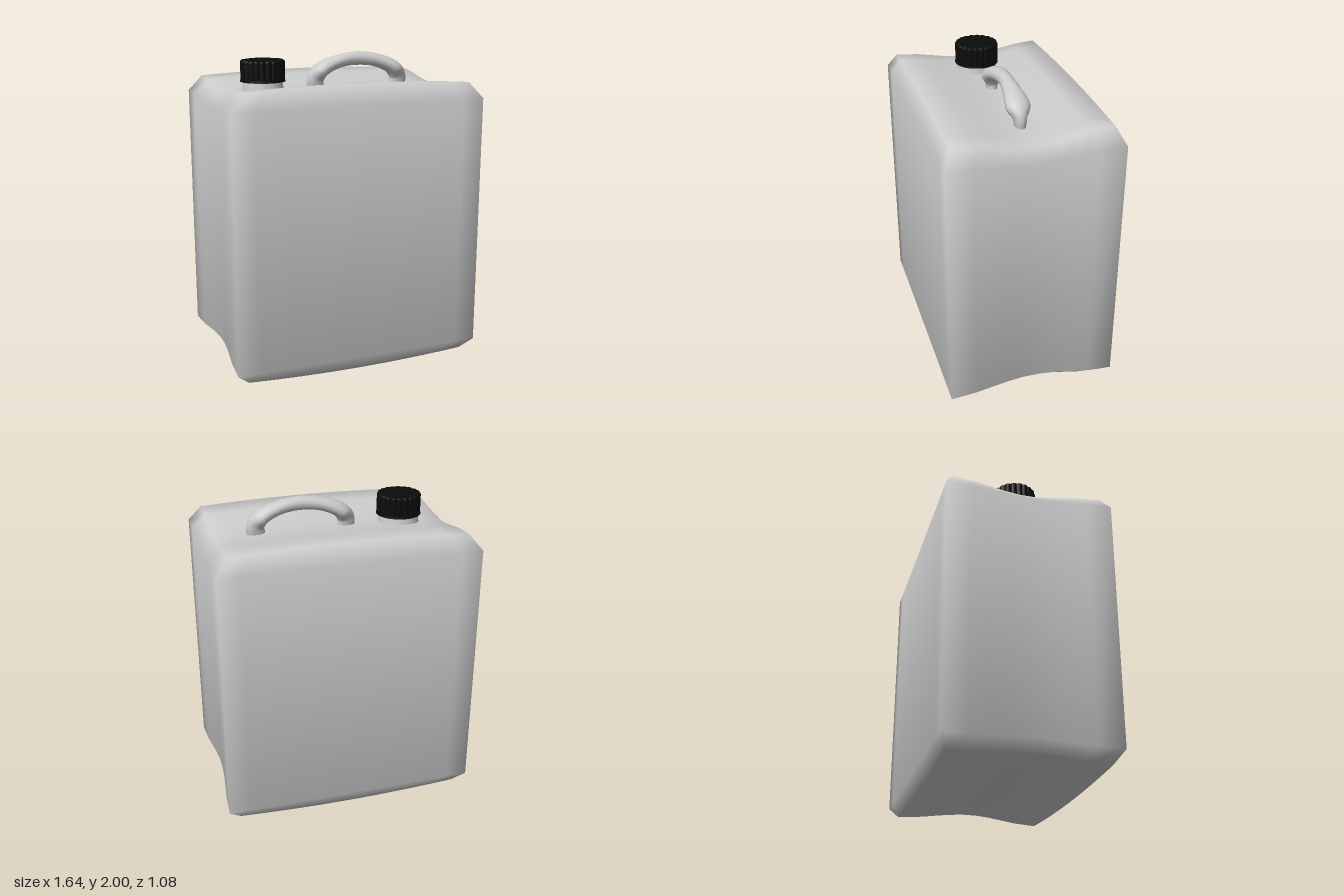
import * as THREE from 'three';
import { mergeVertices } from 'three/addons/utils/BufferGeometryUtils.js';

const plastic = new THREE.MeshStandardMaterial({ color: 0xcccccc });
const black = new THREE.MeshStandardMaterial({ color: 0x0b0b0b });

function add(parent, name, geometry, material) {
  const mesh = new THREE.Mesh(geometry, material);
  mesh.name = name;
  parent.add(mesh);
  return mesh;
}

// Body: a gridded box with chamfered top and bottom rims, a trough along
// the top and the bottom, and narrow sides that draw in towards the base
function bodyGeometry() {
  const xs = [-1, -0.83, -0.55, -0.27, 0, 0.27, 0.55, 0.83, 1];
  const zs = [-1, -0.7, -0.5, -0.3, -0.1, 0.1, 0.3, 0.5, 0.7, 1];
  const levels = [ // height, half width, half depth, lift in the trough, crown, side draw-in
    [0.028, 0.74, 0.49, 0.037, -0.024, 0.04],
    [0.1, 0.82, 0.54, 0.03, 0, 0.04],
    [1.73, 0.82, 0.54, -0.03, 0, 0],
    [1.83, 0.74, 0.49, -0.06, 0.022, 0],
  ];
  const nx = xs.length - 1, ny = levels.length - 1, nz = zs.length - 1;
  const box = new THREE.BoxGeometry(nx, ny, nz, nx, ny, nz);
  box.deleteAttribute('uv');
  box.deleteAttribute('normal');
  const geo = mergeVertices(box);
  const p = geo.attributes.position;
  const level = i => Math.round(i + ny / 2);
  const rows = Array.from({ length: p.count }, (_, i) => level(p.getY(i)));
  for (let i = 0; i < p.count; i++) {
    const u = xs[Math.round(p.getX(i) + nx / 2)];
    const w = zs[Math.round(p.getZ(i) + nz / 2)];
    const [y, halfX, halfZ, lift, crown, drawIn] = levels[rows[i]];
    const trough = 0.5 + 0.5 * Math.cos(Math.PI * w);
    p.setXYZ(i, u * (halfX - drawIn * trough), y + lift * trough + crown * (1 - u * u), w * halfZ);
  }
  geo.computeVertexNormals();
  // Soften the shading of the walls towards the chamfers
  const n = geo.attributes.normal, v = new THREE.Vector3();
  rows.forEach((row, i) => {
    if (row === 0 || row === ny) return;
    v.fromBufferAttribute(n, i);
    v.y += row === 1 ? -0.2 : 0.2;
    v.normalize();
    n.setXYZ(i, v.x, v.y, v.z);
  });
  return geo;
}

// Handle: oval sections swept along an arch, wide at the shoulders
function handleGeometry() {
  const half = [ // offset from the middle, height, half width, half thickness
    [0.29, 1.78, 0.033, 0.058],
    [0.293, 1.83, 0.042, 0.057],
    [0.257, 1.886, 0.075, 0.05],
    [0.14, 1.938, 0.058, 0.043],
  ];
  const stations = [
    ...half.map(([x, ...r]) => [-x, ...r]),
    [0, 1.956, 0.045, 0.044],
    ...half.slice().reverse(),
  ];
  const path = new THREE.CatmullRomCurve3(stations.map(s => new THREE.Vector3(s[0], s[1], 0)));
  const sizes = new THREE.CatmullRomCurve3(stations.map(s => new THREE.Vector3(s[2], s[3], 0)));
  const rings = 40, sides = 14, pos = [], index = [];
  for (let i = 0; i <= rings; i++) {
    const t = i / rings;
    const c = path.getPoint(t), d = path.getTangent(t), s = sizes.getPoint(t);
    for (let j = 0; j < sides; j++) {
      const a = j / sides * Math.PI * 2;
      const n = Math.cos(a) * s.y;
      pos.push(c.x - d.y * n, c.y + d.x * n, Math.sin(a) * s.x);
      if (i < rings) {
        const k = i * sides + j, m = i * sides + (j + 1) % sides;
        index.push(k, m, k + sides, m, m + sides, k + sides);
      }
    }
  }
  const geo = new THREE.BufferGeometry();
  geo.setAttribute('position', new THREE.Float32BufferAttribute(pos, 3));
  geo.setIndex(index);
  geo.computeVertexNormals();
  return geo;
}

// Cap: scalloped outline extruded upwards with a small bevel
function capGeometry() {
  const ribs = 20, outline = [];
  for (let i = 0; i < ribs * 6; i++) {
    const a = i / (ribs * 6) * Math.PI * 2;
    const r = 0.12 + 0.012 * Math.abs(Math.cos(a * ribs / 2));
    outline.push(new THREE.Vector2(Math.cos(a) * r, Math.sin(a) * r));
  }
  const geo = new THREE.ExtrudeGeometry(new THREE.Shape(outline), {
    depth: 0.107, bevelSize: 0.008, bevelThickness: 0.012, bevelSegments: 2,
  });
  return geo.rotateX(-Math.PI / 2);
}

export function createModel() {
  const model = new THREE.Group();
  model.name = 'canister';
  add(model, 'body', bodyGeometry(), plastic);

  const handle = add(model, 'handle', handleGeometry(), plastic);
  handle.position.x = 0.183;

  // Filler neck with the screw cap and its collar
  const filler = new THREE.Group();
  filler.name = 'filler';
  filler.position.x = -0.463;
  model.add(filler);
  add(filler, 'neck', new THREE.CylinderGeometry(0.122, 0.135, 0.09, 32, 1, true), plastic).position.y = 1.805;
  add(filler, 'cap', capGeometry(), black).position.y = 1.85;
  add(filler, 'capCollar', new THREE.CylinderGeometry(0.141, 0.143, 0.014, 48), black).position.y = 1.841;
  return model;
}
